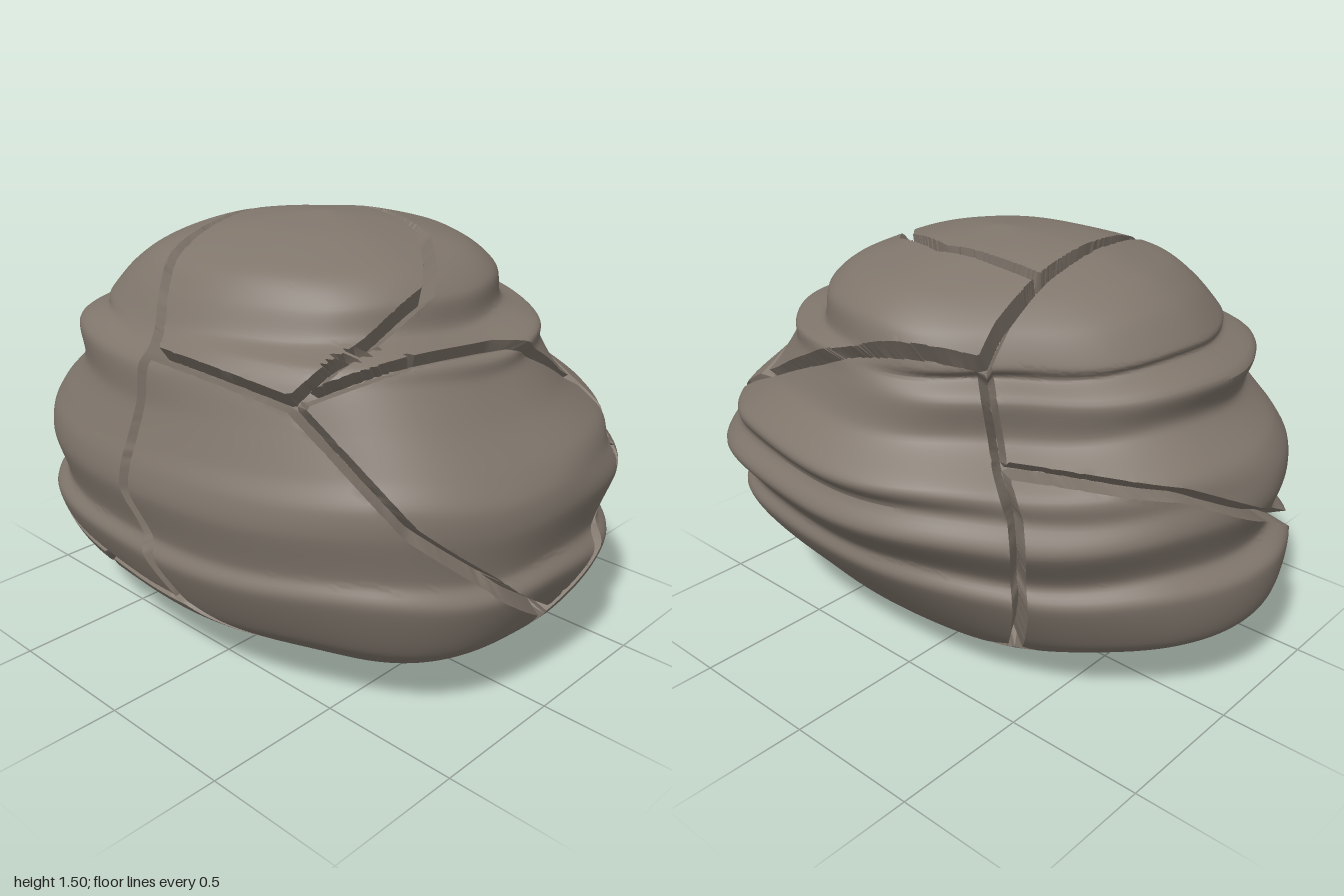
import * as THREE from 'three';
import { toCreasedNormals } from 'three/addons/utils/BufferGeometryUtils.js';

const V = (x, y, z) => new THREE.Vector3(x, y, z);

// Layers of the boulder from bottom to top: y, left x, right x, back z, front z
const LAYERS = [
  [0, -.04, -.04, .03, .03], [.05, -.31, .2, -.42, .5], [.15, -.53, .43, -.72, .74],
  [.28, -.7, .55, -.95, .9], [.48, -.8, .7, -.99, .99], [.56, -.78, .7, -.92, .96],
  [.71, -.82, .82, -.96, .99], [.8, -.81, .78, -.95, .98], [.88, -.78, .83, -.91, .94],
  [1, -.74, .71, -.78, .84], [1.12, -.72, .67, -.81, .76], [1.18, -.66, .65, -.7, .74],
  [1.22, -.62, .63, -.7, .58], [1.32, -.56, .6, -.62, .55], [1.4, -.48, .49, -.5, .45],
  [1.47, -.26, .25, -.3, .22], [1.505, 0, 0, 0, 0],
];
const layerCurve = (x, z) => new THREE.CatmullRomCurve3(
  LAYERS.map(row => V(row[x], row[0], row[z])), false, 'catmullrom', .4);
const lowCorner = layerCurve(1, 3);
const highCorner = layerCurve(2, 4);

// Outline seen from above
const outline = new THREE.CatmullRomCurve3([
  [-.28, -1], [.21, -.92], [.54, -.64], [.77, -.26], [.82, .13], [.72, .66],
  [.45, .94], [-.18, .99], [-.55, .77], [-.79, .24], [-.83, -.19], [-.69, -.74],
].map(([x, z]) => V(x / .825, 0, z)), true);

// Joints where cracks meet
const left = V(-.66, 1.12, .48), leftBack = V(-.69, 1.14, -.09), top = V(.19, 1.45, -.34);
const topRight = V(.43, 1.41, -.39), shoulder = V(.5, 1.26, -.37), side = V(.6, .97, -.53);
const front = V(.51, .92, .68), low = V(.05, .32, .93), toe = V(.01, .13, .7);
const base = V(.45, .14, -.47), heel = V(-.72, .32, .05), back = V(-.73, .35, -.35);

// Cracks between the plates, as paths over the surface, cut into short steps
const CENTRE = V(0, .7, 0);
const segments = [
  [left, V(-.35, 1.25, .53), V(-.1, 1.35, .54), V(.16, 1.43, .29), V(.25, 1.46, .03), top],
  [left, V(-.26, 1.19, .66), V(.03, 1.18, .71), front],
  [left, leftBack, V(-.18, 1.46, -.3), top, topRight, shoulder],
  [shoulder, V(.61, 1.14, .2), front],
  [front, V(.32, .55, .9), low],
  [left, V(-.48, .75, .8), V(-.17, .47, .97), low],
  [low, toe, V(-.35, .12, .52), heel],
  [toe, V(.25, .06, .25), base],
  [shoulder, side, V(.6, .8, -.6), V(.56, .4, -.59), base],
  [side, V(.15, .85, -.88), V(-.1, .72, -.95), back, heel],
  [leftBack, V(-.82, .7, -.1), heel],
  [base, V(-.1, .09, -.45), back],
].flatMap(path => {
  const STEPS = 6;
  const dirs = path.map(p => p.clone().sub(CENTRE).normalize());
  const steps = [];
  for (let i = 0; i <= (dirs.length - 1) * STEPS; i++) {
    const k = Math.min(Math.floor(i / STEPS), dirs.length - 2);
    steps.push(dirs[k].clone().lerp(dirs[k + 1], i / STEPS - k).normalize());
  }
  return steps.slice(1).map((dir, i) => new THREE.Line3(steps[i], dir));
});

// Point on the uncracked boulder; u runs upward, v runs around
function surfacePoint(u, v) {
  const t = (lowCorner.getUtoTmapping(u) + highCorner.getUtoTmapping(u)) / 2;
  const a = lowCorner.getPoint(t), b = highCorner.getPoint(t);
  const o = outline.getPoint(THREE.MathUtils.euclideanModulo(v, 1));
  const angle = Math.atan2(o.z, o.x);
  const body = Math.sin(Math.PI * u) ** 2;
  const wave = body * (.012 * Math.sin(3 * angle + 1) + .008 * Math.sin(7 * angle + 9 * u));
  // The right-hand corners taper above, and the front one bulges below
  const corner = o.x > 0 ? Math.sin(2 * angle) ** 2 : 0;
  const taper = -.08 * THREE.MathUtils.smoothstep(a.y, .7, 1);
  const bulge = o.z > 0 ? .05 * Math.exp(-(((a.y - .38) / .17) ** 2)) : 0;
  o.multiplyScalar(1 + corner * (taper + bulge));
  return V(
    (a.x + b.x) / 2 + o.x * (b.x - a.x) / 2,
    Math.max(0, a.y + wave),
    (a.z + b.z) / 2 + o.z * (b.z - a.z) / 2,
  );
}

// Distance over the surface to the closest crack
const nearest = V(0, 0, 0);
function crackDistance(p) {
  const dir = p.clone().sub(CENTRE), r = dir.length();
  dir.divideScalar(r);
  let best = 9;
  for (const segment of segments) {
    segment.closestPointToPoint(dir, true, nearest);
    best = Math.min(best, nearest.normalize().distanceToSquared(dir));
  }
  return Math.sqrt(best) * r;
}

function boulderGeometry(rows, columns) {
  const WIDTH = .024, DEPTH = .075, E = .0005;
  const halfCell = x => THREE.MathUtils.clamp(x, -.6, .6);
  const positions = [], index = [];
  for (let i = 0; i <= rows; i++) {
    for (let j = 0; j < columns; j++) {
      const u = i / rows, v = j / columns;
      let p = surfacePoint(u, v);
      const d = crackDistance(p);
      if (d < WIDTH * 1.5 && i > 3 && i < rows - 3) {
        // Slide the vertex onto the lip or the centre line of the crack
        const inside = d < WIDTH / 2;
        const gu = (crackDistance(surfacePoint(u + E, v)) - d) / E;
        const gv = (crackDistance(surfacePoint(u, v + E)) - d) / E;
        const k = ((inside ? 0 : WIDTH) - d) / Math.max(gu * gu + gv * gv, .5);
        p = surfacePoint(u + halfCell(k * gu * rows) / rows, v + halfCell(k * gv * columns) / columns);
        if (inside) p.addScaledVector(p.clone().sub(CENTRE).normalize(), -DEPTH);
      }
      positions.push(p.x, p.y, p.z);

      // Two faces per cell, one at the bottom and top tips
      const a = i * columns + j, b = i * columns + (j + 1) % columns;
      if (i < rows - 1) index.push(a, a + columns, b + columns);
      if (i > 0 && i < rows) index.push(a, b + columns, b);
    }
  }
  const geometry = new THREE.BufferGeometry();
  geometry.setAttribute('position', new THREE.Float32BufferAttribute(positions, 3));
  geometry.setIndex(index);
  return toCreasedNormals(geometry, .6);
}

export function createModel() {
  const stone = new THREE.MeshStandardMaterial({ color: 0x80766c });
  stone.name = 'stone';
  const boulder = new THREE.Mesh(boulderGeometry(210, 300), stone);
  boulder.name = 'crackedBoulder';
  const model = new THREE.Group();
  model.name = 'boulder';
  model.add(boulder);
  return model;
}
